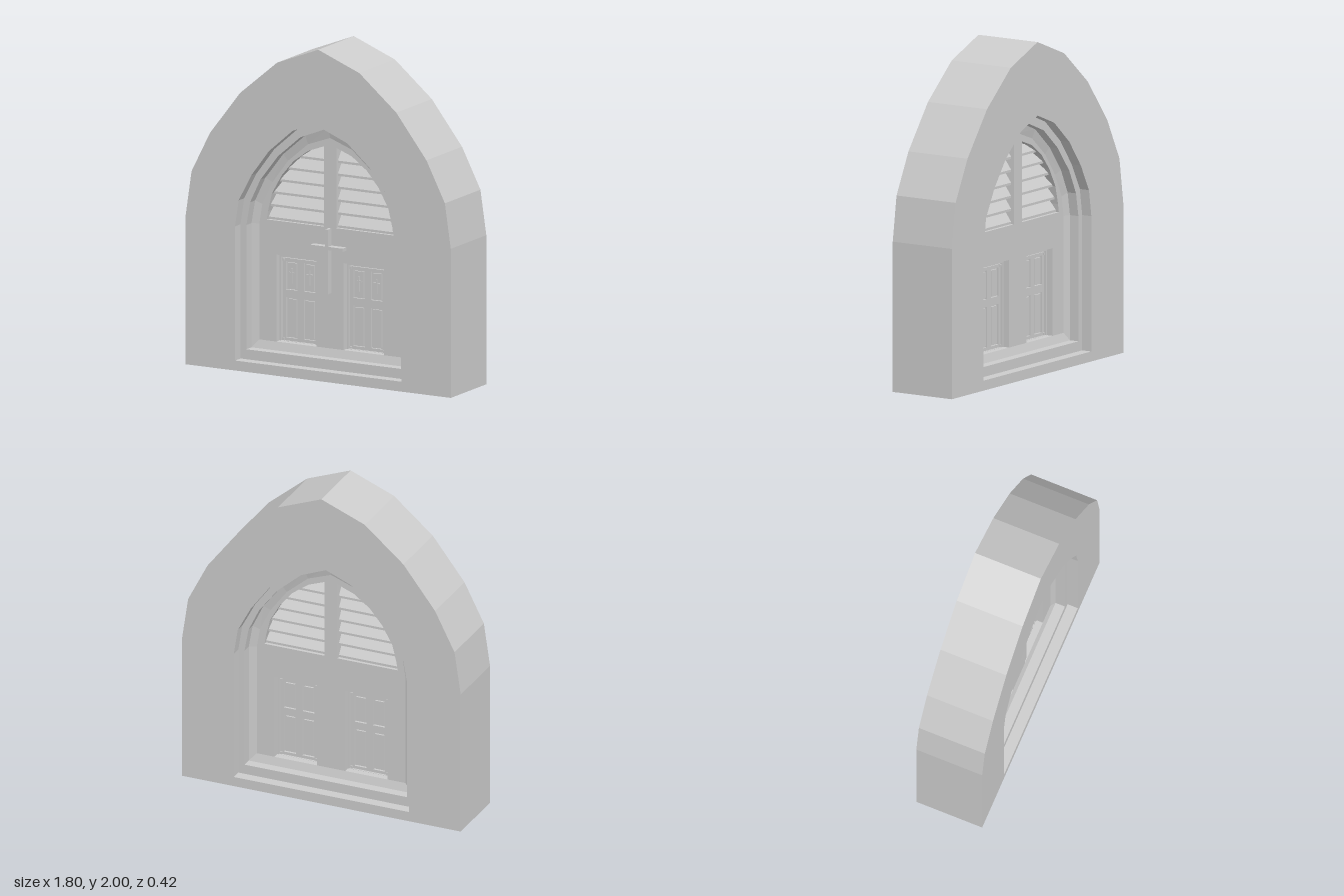
import * as THREE from 'three';

const mat = new THREE.MeshStandardMaterial({ color: 0xcccccc, flatShading: true });

// Right half of each pointed arch, from the springing up to the apex
const OUTER = [[0.9, 0.9], [0.86, 1.17], [0.735, 1.415], [0.53, 1.68], [0.28, 1.89], [0, 2]];
const STEP1 = [[0.565, 0.87], [0.54, 1.03], [0.455, 1.19], [0.335, 1.35], [0.175, 1.49], [0, 1.56]];
const STEP2 = [[0.525, 0.87], [0.5, 1.01], [0.43, 1.155], [0.31, 1.31], [0.16, 1.44], [0, 1.505]];
const FIELD = [[0.48, 0.87], [0.46, 0.99], [0.39, 1.13], [0.285, 1.27], [0.15, 1.385], [0, 1.44]];
const LOUVRE = [[0.43, 0.9], [0.422, 0.95], [0.395, 1.06], [0.33, 1.175], [0.25, 1.27], [0.148, 1.345], [0.042, 1.385]];

// Closed counter-clockwise outline of a whole arch standing on y = base
function archPoints(half, base) {
  const right = half.map(([x, y]) => new THREE.Vector2(x, y));
  const left = half.slice(0, -1).reverse().map(([x, y]) => new THREE.Vector2(-x, y));
  const w = half[0][0];
  return [new THREE.Vector2(-w, base), new THREE.Vector2(w, base), ...right, ...left];
}

function rectPoints(x0, x1, y0, y1) {
  return [[x0, y0], [x1, y0], [x1, y1], [x0, y1]].map(([x, y]) => new THREE.Vector2(x, y));
}

function add(parent, name, geometry, x = 0, y = 0, z = 0) {
  const mesh = new THREE.Mesh(geometry, mat);
  mesh.name = name;
  mesh.position.set(x, y, z);
  parent.add(mesh);
  return mesh;
}

// Plate of the given thickness centred on z = 0
function plate(points, holes, depth) {
  const shape = new THREE.Shape(points);
  holes.forEach((h) => shape.holes.push(new THREE.Path(h)));
  return new THREE.ExtrudeGeometry(shape, { depth, bevelEnabled: false }).translate(0, 0, -depth / 2);
}

// Sloping band between two outlines with matching corners
function band(outer, zOuter, inner, zInner) {
  const pos = [];
  const n = outer.length;
  for (let i = 0; i < n; i++) {
    const j = (i + 1) % n;
    const a = [outer[i].x, outer[i].y, zOuter], b = [outer[j].x, outer[j].y, zOuter];
    const c = [inner[j].x, inner[j].y, zInner], d = [inner[i].x, inner[i].y, zInner];
    pos.push(...a, ...b, ...c, ...a, ...c, ...d);
  }
  const g = new THREE.BufferGeometry();
  g.setAttribute('position', new THREE.Float32BufferAttribute(pos, 3));
  g.computeVertexNormals();
  return g;
}

// Half width of the louvre opening at height y
function louvreWidth(y) {
  for (let i = 1; i < LOUVRE.length; i++) {
    const [x0, y0] = LOUVRE[i - 1], [x1, y1] = LOUVRE[i];
    if (y <= y1) return x0 + (x1 - x0) * (y - y0) / (y1 - y0);
  }
  return 0.05;
}

function cross(name, height, span, bar, thick, armY) {
  const g = new THREE.Group();
  g.name = name;
  add(g, 'crossUpright', new THREE.BoxGeometry(bar, height, thick));
  add(g, 'crossArm', new THREE.BoxGeometry(span, bar, thick), 0, armY, 0);
  return g;
}

// Panelled door, centred on x = 0
function makeDoor() {
  const door = new THREE.Group();
  door.name = 'door';
  const openings = [];
  for (const s of [-1, 1]) {
    const c = s * 0.06;
    for (const [y0, y1] of [[0.19, 0.433], [0.48, 0.652]]) {
      openings.push(rectPoints(c - 0.039, c + 0.039, y0, y1));
      // raised field standing inside a narrow groove
      add(door, 'doorPanel', new THREE.BoxGeometry(0.06, y1 - y0 - 0.018, 0.034), c, (y0 + y1) / 2, 0);
    }
    const small = cross('doorCross', 0.09, 0.04, 0.007, 0.01, 0.018);
    small.position.set(c, 0.566, 0.02);
    door.add(small);
    for (const y of [0.18, 0.66]) {
      add(door, 'doorCornerBlock', new THREE.BoxGeometry(0.014, 0.014, 0.054), s * 0.115, y, 0);
    }
  }
  add(door, 'doorCore', new THREE.BoxGeometry(0.27, 0.52, 0.012), 0, 0.43, 0);
  add(door, 'doorRails', plate(rectPoints(-0.122, 0.122, 0.172, 0.67), openings, 0.04));
  add(door, 'doorFrame', plate(rectPoints(-0.137, 0.137, 0.17, 0.695),
    [rectPoints(-0.127, 0.127, 0.171, 0.676)], 0.06));
  return door;
}

export function createModel() {
  const model = new THREE.Group();
  model.name = 'archedDoorway';

  const outer = archPoints(OUTER, 0);
  const step1 = archPoints(STEP1, 0.06);
  const step2 = archPoints(STEP2, 0.12);
  const field = archPoints(FIELD, 0.17);

  // Nested wall and stepped reveal
  add(model, 'outerWall', plate(outer, [step1], 0.42));
  add(model, 'steppedReveal', plate(step1, [step2], 0.29));

  // Central panel pierced for the louvres and doors
  const holes = [];
  for (const s of [1, -1]) {
    const pts = [[0.042, 0.9], ...LOUVRE].map(([x, y]) => new THREE.Vector2(s * x, y));
    holes.push(pts);
    holes.push(rectPoints(s * 0.228 - 0.137, s * 0.228 + 0.137, 0.17, 0.695));
  }
  add(model, 'centralPanel', plate(step2, holes, 0.14));

  // Shallow sloping border on both faces
  const border = band(step2, 0.085, field, 0.07);
  add(model, 'frontBorder', border);
  add(model, 'backBorder', border).rotation.y = Math.PI;

  // Ridge-shaped louvre slats, drawn in (z, y) and run along x
  const slat = new THREE.Shape([[0.05, 0], [0.05, 0.014], [0, 0.084], [-0.05, 0.014], [-0.05, 0], [0, 0.07]]
    .map(([z, y]) => new THREE.Vector2(z, y)));
  for (let i = 0; i < 6; i++) {
    const y = 0.9 + i * 0.078;
    const x0 = 0.035, x1 = louvreWidth(y) + 0.008;
    for (const s of [1, -1]) {
      const g = new THREE.ExtrudeGeometry(slat, { depth: x1 - x0, bevelEnabled: false });
      g.rotateY(Math.PI / 2);
      add(model, 'louvreSlat', g, s > 0 ? x0 : -x1, y, 0);
    }
  }

  // Pair of doors
  for (const s of [1, -1]) {
    const door = makeDoor();
    door.position.x = s * 0.228;
    model.add(door);
  }

  // Large cross on the front of the panel
  const big = cross('frontCross', 0.39, 0.22, 0.02, 0.045, 0.082);
  big.position.set(0, 0.7, 0.09);
  model.add(big);

  return model;
}
